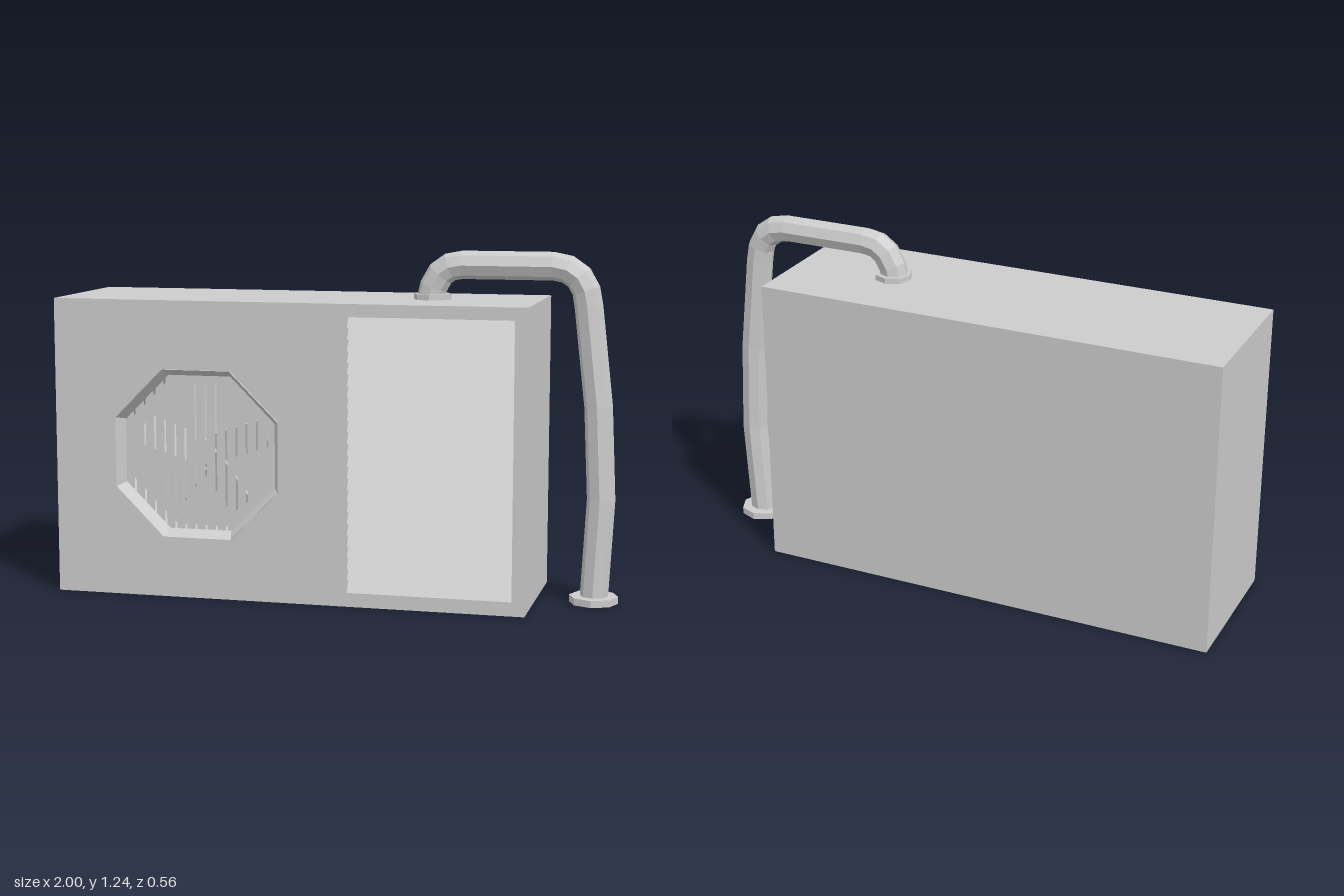
import * as THREE from 'three';

const grey = new THREE.MeshStandardMaterial({ color: 0xcccccc, flatShading: true, side: THREE.DoubleSide });
const Z = -0.005; // depth centre of cabinet and pipe

function add(parent, name, geometry, x = 0, y = 0, z = 0) {
  const mesh = new THREE.Mesh(geometry, grey);
  mesh.name = name;
  mesh.position.set(x, y, z);
  parent.add(mesh);
  return mesh;
}

function rect(Type, x0, y0, x1, y1) {
  return new Type().moveTo(x0, y0).lineTo(x1, y0).lineTo(x1, y1).lineTo(x0, y1).closePath();
}

// Octagonal tube swept along a path of [x, y] points, mitred at every bend
function sweep(path, radius, sides = 8) {
  const pts = path.map(([x, y]) => new THREE.Vector2(x, y));
  const pos = [], index = [];
  pts.forEach((p, i) => {
    const a = pts[Math.max(i - 1, 0)], b = pts[Math.min(i + 1, pts.length - 1)];
    const t = b.clone().sub(a).normalize();
    for (let k = 0; k < sides; k++) {
      const ang = (k / sides) * Math.PI * 2;
      const n = Math.cos(ang) * radius;
      pos.push(p.x - t.y * n, p.y + t.x * n, Math.sin(ang) * radius);
      if (i < pts.length - 1) {
        const q = i * sides + k, r = i * sides + (k + 1) % sides;
        index.push(q, q + sides, r, r, q + sides, r + sides);
      }
    }
  });
  const g = new THREE.BufferGeometry();
  g.setAttribute('position', new THREE.Float32BufferAttribute(pos, 3));
  g.setIndex(index);
  g.computeVertexNormals();
  return g;
}

// Octagonal collar with a hole through it
function collar(inner, outer, height) {
  const p = [[inner, 0], [outer, 0], [outer, height], [inner, height], [inner, 0]];
  return new THREE.LatheGeometry(p.map(([r, y]) => new THREE.Vector2(r, y)), 8);
}

export function createModel() {
  const model = new THREE.Group();
  model.name = 'outdoorUnit';

  // Cabinet: solid back plus a front shell with fan and louver openings
  const cabinet = new THREE.Group();
  cabinet.name = 'cabinet';
  model.add(cabinet);
  const x0 = -1, x1 = 0.705, top = 1.065, split = 0.15, front = 0.27, back = -0.28;
  const fan = { x: -0.47, y: 0.52, r: 0.325 };
  const face = rect(THREE.Shape, x0, 0, x1, top);
  const opening = new THREE.Path();
  for (let i = 0; i < 8; i++) {
    const a = Math.PI / 8 + (i * Math.PI) / 4;
    const x = fan.x + 0.32 * Math.cos(a), y = fan.y + 0.32 * Math.sin(a);
    if (i) opening.lineTo(x, y); else opening.moveTo(x, y);
  }
  opening.closePath();
  const louver = { x0: 0.075, x1: 0.66, y0: 0.05, y1: 1.02 };
  face.holes.push(opening, rect(THREE.Path, louver.x0, louver.y0, louver.x1, louver.y1));
  add(cabinet, 'frontShell',
    new THREE.ExtrudeGeometry(face, { depth: front - split, bevelEnabled: false }), 0, 0, split);
  add(cabinet, 'backBody', new THREE.BoxGeometry(x1 - x0, top, split - back),
    (x0 + x1) / 2, top / 2, (split + back) / 2);

  // Fan opening: raised octagonal rim sloping inwards
  const rim = [[0.325, 0.2], [0.325, 0.28], [0.3, 0.235], [0.3, split]];
  const rimGeo = new THREE.LatheGeometry(rim.map(([r, y]) => new THREE.Vector2(r, y)), 8, Math.PI / 8);
  rimGeo.rotateX(Math.PI / 2);
  add(model, 'fanRim', rimGeo, fan.x, fan.y);

  // Vertical grille bars, trimmed to the octagon
  const grille = new THREE.Group();
  grille.name = 'fanGrille';
  model.add(grille);
  for (let i = -7; i <= 7; i++) {
    const dx = i * 0.038;
    const half = Math.min(0.285, 0.41 - Math.abs(dx));
    add(grille, 'grilleBar', new THREE.BoxGeometry(0.027, half * 2, 0.012), fan.x + dx, fan.y, 0.225);
  }

  // Fan behind the grille
  const rotor = new THREE.Group();
  rotor.name = 'fan';
  rotor.position.set(fan.x, fan.y, 0.19);
  model.add(rotor);
  add(rotor, 'hub', new THREE.CylinderGeometry(0.05, 0.05, 0.05, 8).rotateX(Math.PI / 2));
  for (let i = 0; i < 5; i++) {
    const blade = new THREE.BoxGeometry(0.11, 0.2, 0.008).rotateY(0.35).translate(0, 0.14, 0);
    add(rotor, 'blade', blade.rotateZ((i * Math.PI * 2) / 5));
  }

  // Louvers: saw-tooth slats with their lower edges forward
  const count = 24, pitch = (louver.y1 - louver.y0) / count;
  const profile = new THREE.Shape().moveTo(-split, louver.y0);
  for (let i = 0; i < count; i++) {
    const y = louver.y0 + i * pitch;
    profile.lineTo(-0.262, y + 0.002);
    profile.lineTo(-0.235, y + pitch);
  }
  profile.lineTo(-split, louver.y1).closePath();
  const slats = new THREE.ExtrudeGeometry(profile, { depth: louver.x1 - louver.x0, bevelEnabled: false });
  add(model, 'louvers', slats.rotateY(Math.PI / 2), louver.x0);

  // Pipe from the cabinet top over the side to the ground, with collars
  const path = [[0.315, 1.065], [0.325, 1.11], [0.35, 1.155], [0.385, 1.18], [0.43, 1.188],
    [0.75, 1.188], [0.8, 1.178], [0.84, 1.15], [0.865, 1.105], [0.875, 1.05],
    [0.915, 0.7], [0.93, 0.37], [0.91, 0.005]];
  add(model, 'pipe', sweep(path, 0.05), 0, 0, Z);
  add(model, 'topCollar', collar(0.045, 0.067, 0.02), 0.322, 1.065, Z);
  add(model, 'bottomCollar', collar(0.045, 0.087, 0.025), 0.91, 0, Z);

  return model;
}
